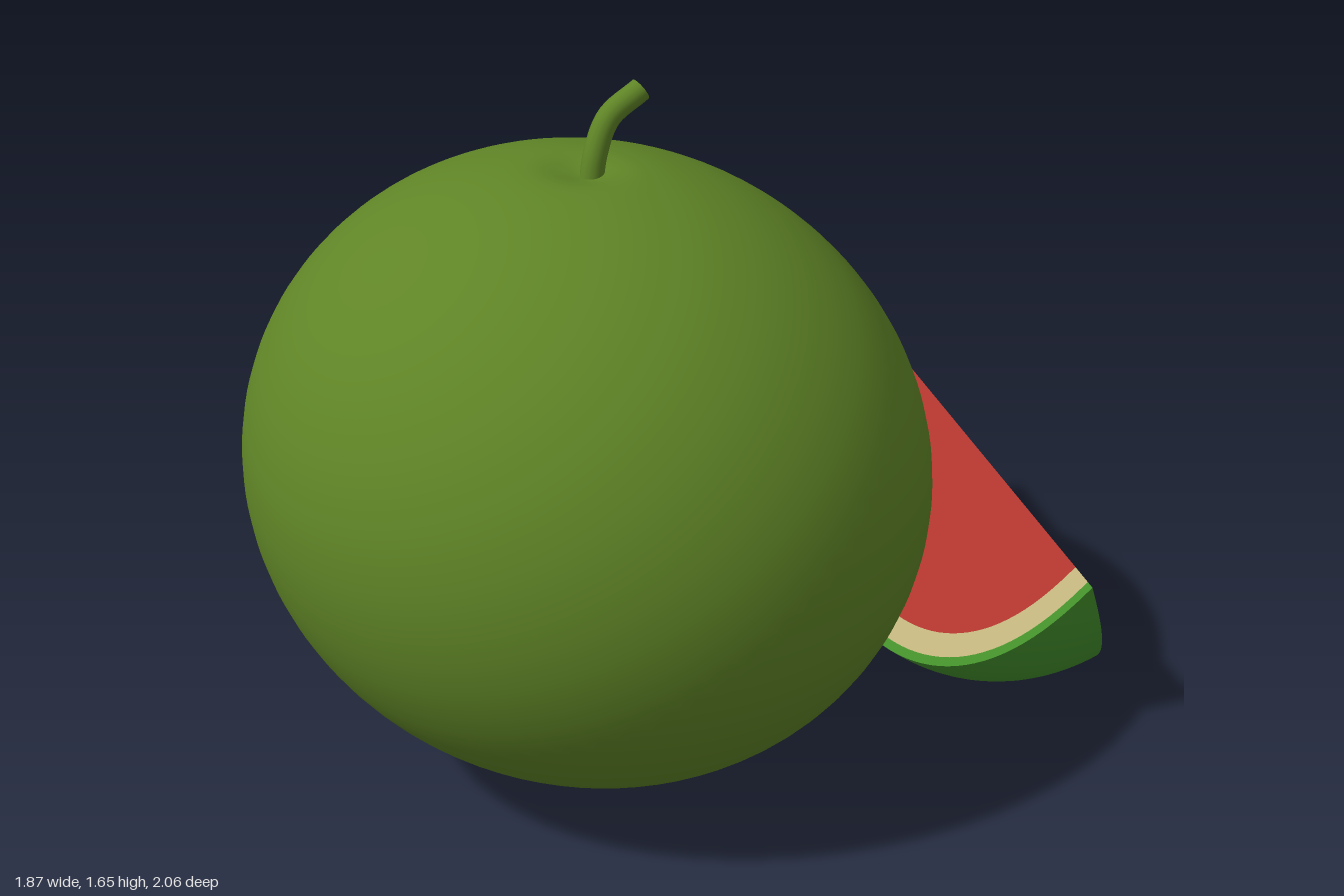
import * as THREE from 'three';
import { ParametricGeometry } from 'three/addons/geometries/ParametricGeometry.js';

const paint = (name, color, side = THREE.FrontSide) => {
  const m = new THREE.MeshStandardMaterial({ color, side });
  m.name = name;
  return m;
};

export function createModel() {
  const model = new THREE.Group();
  const skin = paint('olive skin', 0x5f8426);
  const flesh = paint('red flesh', 0xb0342e, THREE.DoubleSide);
  const pith = paint('cream pith', 0xbfb27c, THREE.DoubleSide);
  const rind = paint('green rind', 0x43902b, THREE.DoubleSide);

  const add = (parent, name, geometry, material) => {
    const mesh = new THREE.Mesh(geometry, material);
    mesh.name = name;
    parent.add(mesh);
    return mesh;
  };

  // Whole melon: a slightly flattened ball with a dimple at each pole, leaning a little
  const profile = [];
  const N = 72;
  for (let i = 0; i <= N; i++) {
    const t = Math.PI * (i / N - 0.5);
    const r = i === 0 || i === N ? 0 : 0.795 * Math.cos(t);
    const dimple = 0.03 * Math.exp(-((r / 0.07) ** 2));
    profile.push(new THREE.Vector2(r, 0.725 * Math.sin(t) - Math.sign(t) * dimple));
  }
  const ball = new THREE.LatheGeometry(profile, 72);
  ball.applyMatrix4(new THREE.Matrix4().set(
    1, 0, 0, -0.155,
    -0.05, 1, 0, 0.755,
    0, 0, 0.97, 0.225,
    0, 0, 0, 1));
  const melon = new THREE.Group();
  melon.name = 'wholeMelon';
  model.add(melon);
  add(melon, 'melonSkin', ball, skin);

  // Bent stem with a closed tip
  const path = new THREE.CatmullRomCurve3([
    [-0.145, 1.42, 0.21], [-0.14, 1.5, 0.195], [-0.125, 1.575, 0.16], [-0.082, 1.625, 0.09],
  ].map(p => new THREE.Vector3(...p)));
  add(melon, 'stem', new THREE.TubeGeometry(path, 20, 0.027, 14), skin);
  const tip = add(melon, 'stemTip', new THREE.CircleGeometry(0.027, 14), skin);
  tip.position.copy(path.getPoint(1));
  tip.quaternion.setFromUnitVectors(new THREE.Vector3(0, 0, 1), path.getTangent(1));

  // Cut wedge: local x runs along the ridge, y up, z towards the whole melon
  const slice = new THREE.Group();
  slice.name = 'melonSlice';
  const along = new THREE.Vector3(0.82, -0.18, 0.68).normalize();
  const inward = new THREE.Vector3(-0.64, 0, 0.77).normalize();
  const up = new THREE.Vector3().crossVectors(inward, along).normalize();
  inward.crossVectors(along, up);
  slice.applyMatrix4(new THREE.Matrix4().makeBasis(along, up, inward).setPosition(0.485, 0.53, -0.63));
  model.add(slice);

  // Blunt-ended outline of a cut face: distance along the ridge and away from it
  const outline = (u, inset) => {
    const t = Math.PI * u, c = Math.cos(t), s = Math.max(0, Math.sin(t));
    return [
      (0.565 - inset) * Math.sign(c) * Math.abs(c) ** 0.8,
      u === 0 || u === 1 ? 0 : (0.52 - inset) * s ** 0.8,
    ];
  };
  const place = (x, r, angle, target) => target.set(x, -r * Math.cos(angle), r * Math.sin(angle));
  const surface = (name, fn, nu, nv, material) => {
    const g = new ParametricGeometry(fn, nu, nv);
    g.computeVertexNormals();
    return add(slice, name, g, material);
  };

  const OUTER = -0.37, INNER = 0.77;
  surface('sliceRind', (u, v, p) => {
    const [x, r] = outline(u, 0);
    place(x, r, OUTER + (INNER - OUTER) * v, p);
  }, 56, 20, rind);

  // Each cut face: flesh from the ridge outwards, then pith, then the rind edge
  for (const [side, angle] of [['outer', OUTER], ['inner', INNER]]) {
    surface(side + 'Flesh', (u, v, p) => {
      const [x, r] = outline(u, 0.08);
      place(x, r * v, angle, p);
    }, 56, 4, flesh);
    for (const [part, from, to, material] of [['Pith', 0.08, 0.022, pith], ['RindEdge', 0.022, 0, rind]]) {
      surface(side + part, (u, v, p) => {
        const [x0, r0] = outline(u, from), [x1, r1] = outline(u, to);
        place(x0 + (x1 - x0) * v, r0 + (r1 - r0) * v, angle, p);
      }, 56, 1, material);
    }
  }
  return model;
}
